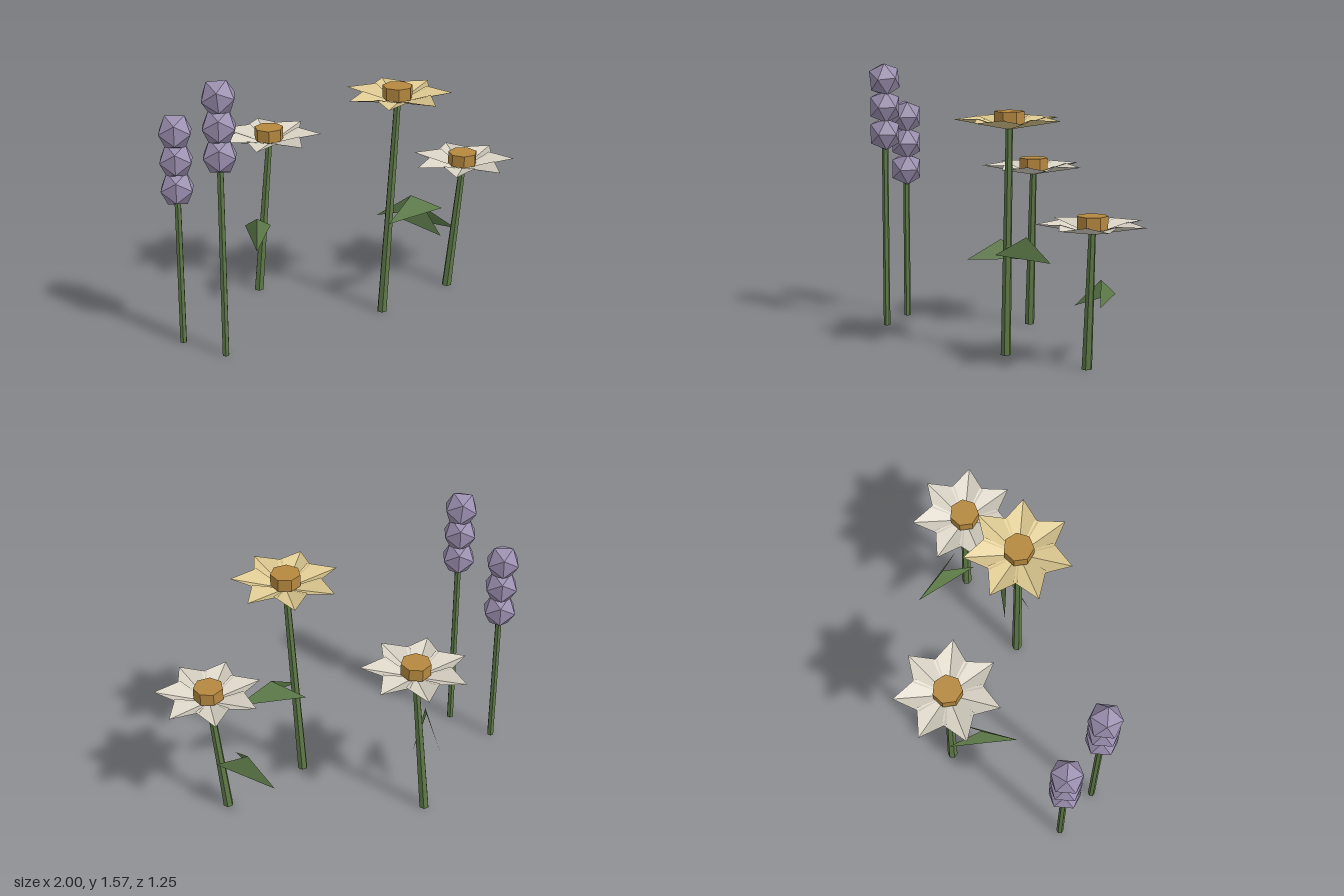
import * as THREE from 'three';

const mat = (name, color, side = THREE.FrontSide) => {
  const m = new THREE.MeshStandardMaterial({ color, side, flatShading: true });
  m.name = name;
  return m;
};

// Flat-shaded geometry from a list of triangle corners
function facets(points) {
  const g = new THREE.BufferGeometry();
  g.setAttribute('position', new THREE.Float32BufferAttribute(points.flat(), 3));
  g.computeVertexNormals();
  return g;
}

function part(parent, name, geometry, material, x = 0, y = 0, z = 0) {
  const mesh = new THREE.Mesh(geometry, material);
  mesh.name = name;
  mesh.position.set(x, y, z);
  parent.add(mesh);
  return mesh;
}

// Tapered stem standing on the ground, sheared sideways by lean
function stemGeometry(rTop, rBottom, height, lean) {
  const g = new THREE.CylinderGeometry(rTop, rBottom, height, 6).translate(0, height / 2, 0);
  const p = g.attributes.position;
  for (let i = 0; i < p.count; i++) p.setX(i, p.getX(i) + (lean * p.getY(i)) / height);
  g.computeVertexNormals();
  return g;
}

// Petal creased along its middle, with raised side corners
function petalGeometry() {
  const root = [0, 0, 0], tip = [0.302, 0.055, 0];
  const near = [0.165, 0.066, 0.093], far = [0.165, 0.066, -0.093];
  return facets([root, near, tip, root, tip, far]);
}

// Tent-shaped leaf, open towards the stem
function leafGeometry() {
  const a = [0.075, 0, 0], b = [-0.075, 0, 0], ridge = [0, 0.115, 0.18], tip = [0, 0, 0.385];
  return facets([a, ridge, tip, b, tip, ridge]);
}

export function createModel() {
  const model = new THREE.Group();
  model.name = 'wildflowers';

  const green = mat('stem green', 0x5f7a48);
  const leafGreen = mat('leaf green', 0x5f7d4a, THREE.DoubleSide);
  const white = mat('petal white', 0xd8d2c4, THREE.DoubleSide);
  const yellow = mat('petal yellow', 0xdcc890, THREE.DoubleSide);
  const gold = mat('centre gold', 0xb5883f);
  const purple = mat('blossom purple', 0x9a8eae);

  const petal = petalGeometry();
  const leaf = leafGeometry();
  const disk = new THREE.CylinderGeometry(0.084, 0.084, 0.07, 7);
  const bud = new THREE.IcosahedronGeometry(0.1, 0).scale(1, 1.07, 1);

  // Daisies: base x, z, stem height, leaf height, leaf direction (x, z), petals
  const daisies = [
    [-0.503, -0.31, 0.918, 0.41, 0, 1, white],
    [0.21, 0.015, 1.262, 0.57, 0.345, -0.155, yellow],
    [0.62, -0.33, 0.742, 0.34, -0.29, -0.25, white],
  ];
  for (const [x, z, height, leafY, dx, dz, petalMat] of daisies) {
    const flower = new THREE.Group();
    flower.name = 'daisy';
    flower.position.set(x, 0, z);
    model.add(flower);
    const lean = 0.075;
    part(flower, 'stem', stemGeometry(0.02, 0.029, height + 0.008, lean), green);
    part(flower, 'leaf', leaf, leafGreen, 0, leafY, 0).rotation.y = Math.atan2(dx, dz);

    const head = new THREE.Group();
    head.name = 'flowerHead';
    head.position.set(lean, height, 0);
    flower.add(head);
    for (let i = 0; i < 7; i++) {
      part(head, 'petal', petal, petalMat).rotation.y = (i * Math.PI * 2) / 7;
    }
    part(head, 'flowerCentre', disk, gold, 0, 0.065, 0);
  }

  // Spike flowers: x, z, bottom of the blossom, tilt of the top bud
  const spikes = [
    [-0.915, 0.363, 0.822, 0],
    [-0.675, 0.532, 1.065, 0.09],
  ];
  for (const [x, z, y, tilt] of spikes) {
    const flower = new THREE.Group();
    flower.name = 'spikeFlower';
    flower.position.set(x, 0, z);
    model.add(flower);
    part(flower, 'stem', stemGeometry(0.019, 0.02, y + 0.03, 0), green);
    for (let i = 0; i < 3; i++) {
      const b = part(flower, 'blossom', bud, purple, 0, y + 0.091 + i * 0.16, 0);
      if (i === 2) b.rotation.set(tilt, 0, tilt);
    }
  }
  return model;
}
